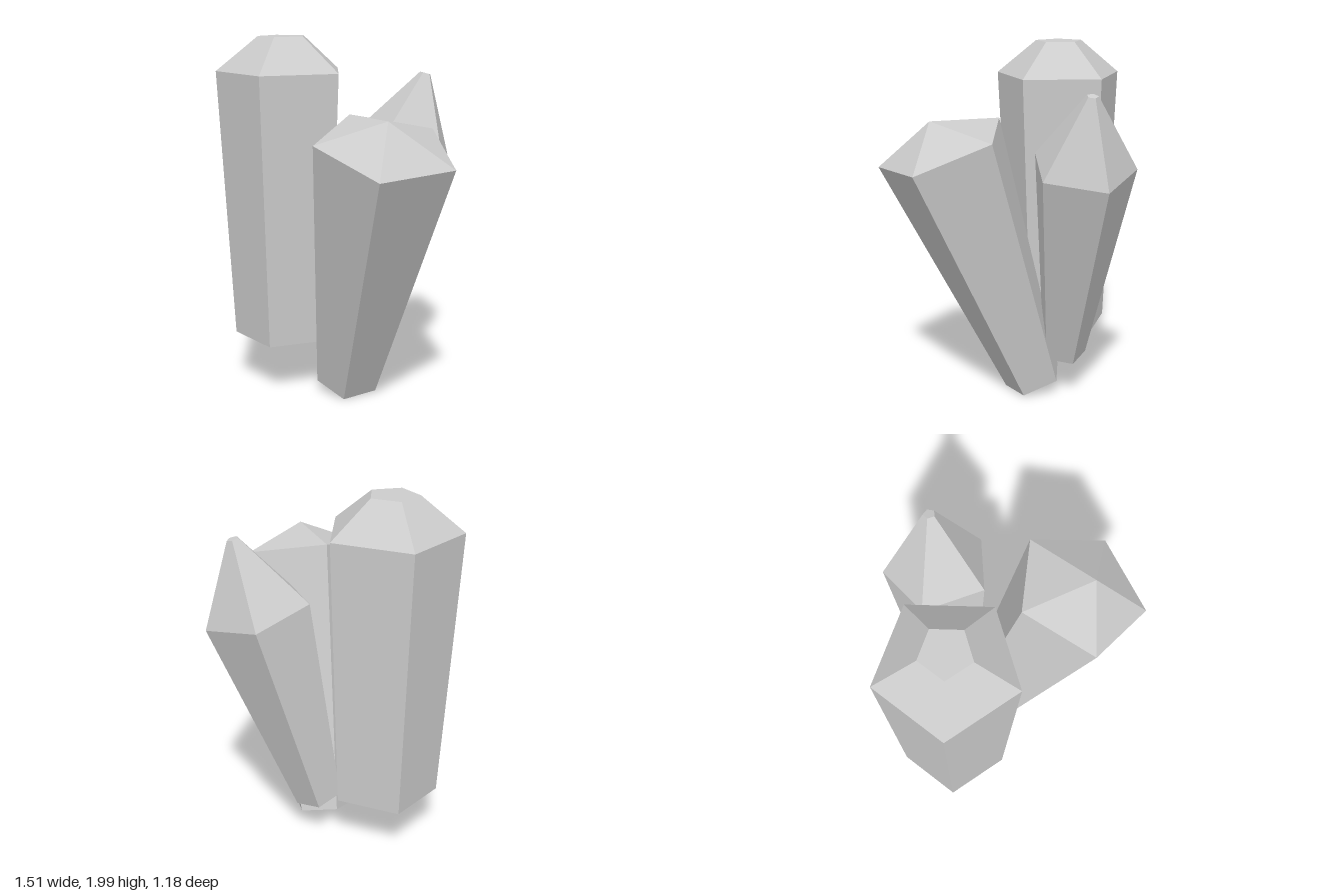
import * as THREE from 'three';

const SIDES = 5;
const vec = (a) => new THREE.Vector3(...a);

// Tapered five-sided crystal: base ring, shoulder ring and tip (a point when tipRadius is 0).
// "corner" is the direction from the axis to the first corner of every ring.
function crystal(name, { base, baseRadius, shoulder, shoulderRadius, tip, tipRadius, corner }) {
  const centres = [vec(base), vec(shoulder), vec(tip)];
  const radii = [baseRadius, shoulderRadius, tipRadius];
  const axis = centres[1].clone().sub(centres[0]).normalize();
  const u = vec(corner).projectOnPlane(axis).normalize();
  const w = axis.clone().cross(u);

  const rings = centres.map((c, k) => Array.from({ length: SIDES }, (_, i) => {
    const a = (i / SIDES) * Math.PI * 2;
    return c.clone().addScaledVector(u, radii[k] * Math.cos(a)).addScaledVector(w, radii[k] * Math.sin(a));
  }));

  const points = [];
  for (let i = 0; i < SIDES; i++) {
    const j = (i + 1) % SIDES;
    const [b, s, t] = rings;
    points.push(centres[0], b[j], b[i]);                 // base cap
    points.push(b[i], b[j], s[j], b[i], s[j], s[i]);     // long side
    points.push(s[i], s[j], t[i]);                       // sloping crown
    if (tipRadius > 0) {
      points.push(s[j], t[j], t[i]);
      points.push(centres[2], t[i], t[j]);               // flat tip
    }
  }

  const geometry = new THREE.BufferGeometry().setFromPoints(points);
  geometry.computeVertexNormals();
  const mesh = new THREE.Mesh(geometry, new THREE.MeshStandardMaterial({ color: 0xcccccc, flatShading: true }));
  mesh.name = name;
  return mesh;
}

export function createModel() {
  const group = new THREE.Group();
  group.name = 'crystalCluster';
  group.add(
    // upright crystal with a wide flat tip
    crystal('uprightCrystal', {
      base: [-0.4, 0.305, 0.287], baseRadius: 0.3,
      shoulder: [-0.4, 1.81, 0.287], shoulderRadius: 0.372,
      tip: [-0.4, 2, 0.287], tipRadius: 0.137,
      corner: [0, 0, -1],
    }),
    // broad crystal leaning to the side, with a low pointed crown
    crystal('leaningCrystal', {
      base: [-0.072, 0.061, 0.105], baseRadius: 0.176,
      shoulder: [0.442, 1.48, 0.244], shoulderRadius: 0.375,
      tip: [0.5, 1.62, 0.28], tipRadius: 0,
      corner: [-0.352, 0.13, -0.038],
    }),
    // slim crystal leaning back, with a long narrow crown
    crystal('rearCrystal', {
      base: [-0.195, 0.235, -0.011], baseRadius: 0.132,
      shoulder: [-0.072, 1.388, -0.315], shoulderRadius: 0.293,
      tip: [-0.03, 1.785, -0.43], tipRadius: 0.032,
      corner: [0.062, -0.08, -0.275],
    }),
  );
  return group;
}
